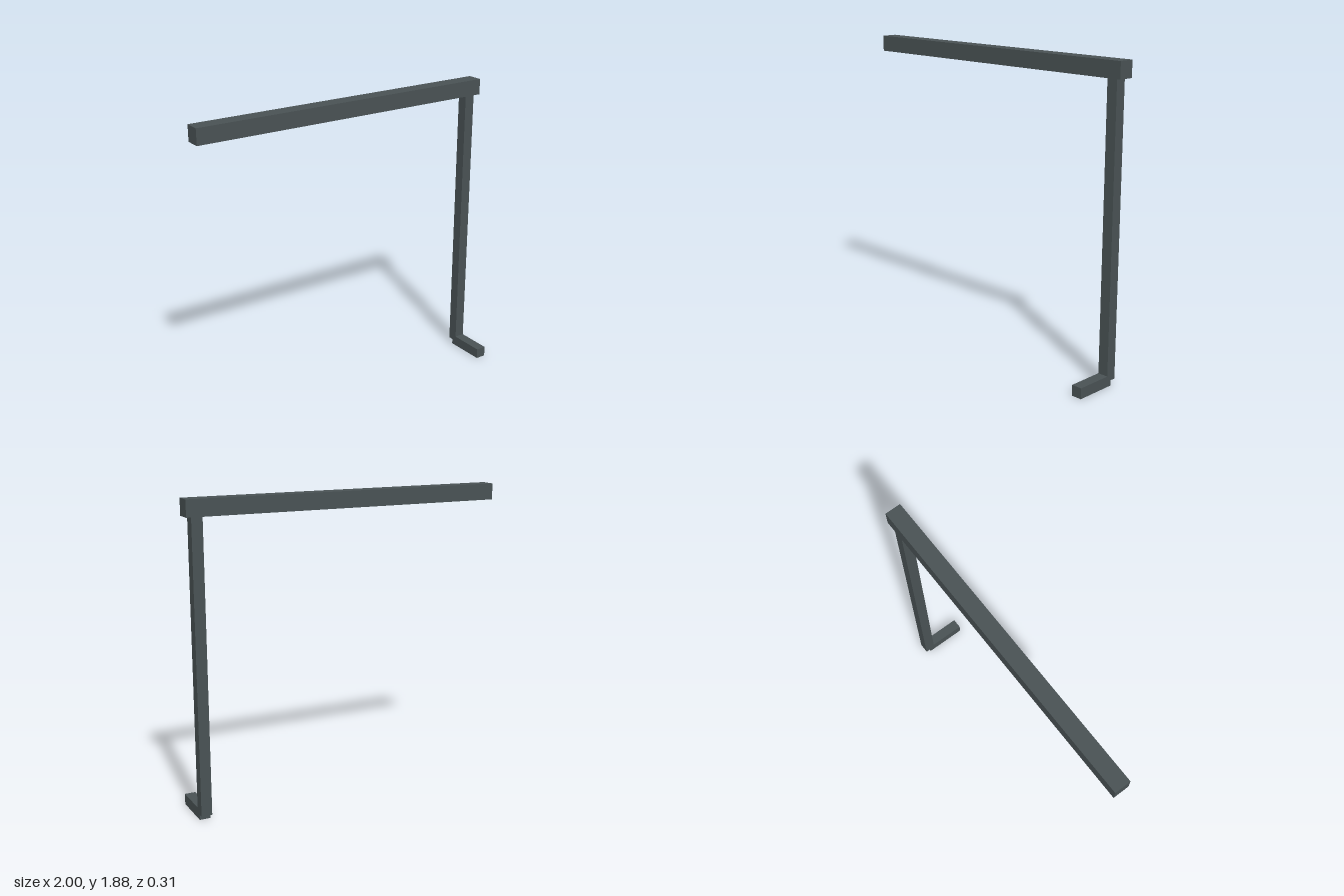
import * as THREE from 'three';

export function createModel() {
  const model = new THREE.Group();
  const slateGrey = new THREE.MeshStandardMaterial({ color: 0x495254 });
  slateGrey.name = 'slateGrey';

  // Box given by its lowest and highest corners
  function bar(name, [x0, y0, z0], [x1, y1, z1]) {
    const mesh = new THREE.Mesh(new THREE.BoxGeometry(x1 - x0, y1 - y0, z1 - z0), slateGrey);
    mesh.name = name;
    mesh.position.set((x0 + x1) / 2, (y0 + y1) / 2, (z0 + z1) / 2);
    model.add(mesh);
  }

  // Long horizontal beam across the top
  bar('topBeam', [-1, 1.785, -0.157], [1, 1.884, -0.058]);
  // Upright at the left end, centred under the beam
  bar('post', [0.9, 0.033, -0.14], [0.966, 1.785, -0.074]);
  // Short foot reaching forward from the post's centre line
  bar('foot', [0.9, 0, -0.107], [0.966, 0.066, 0.157]);

  return model;
}
